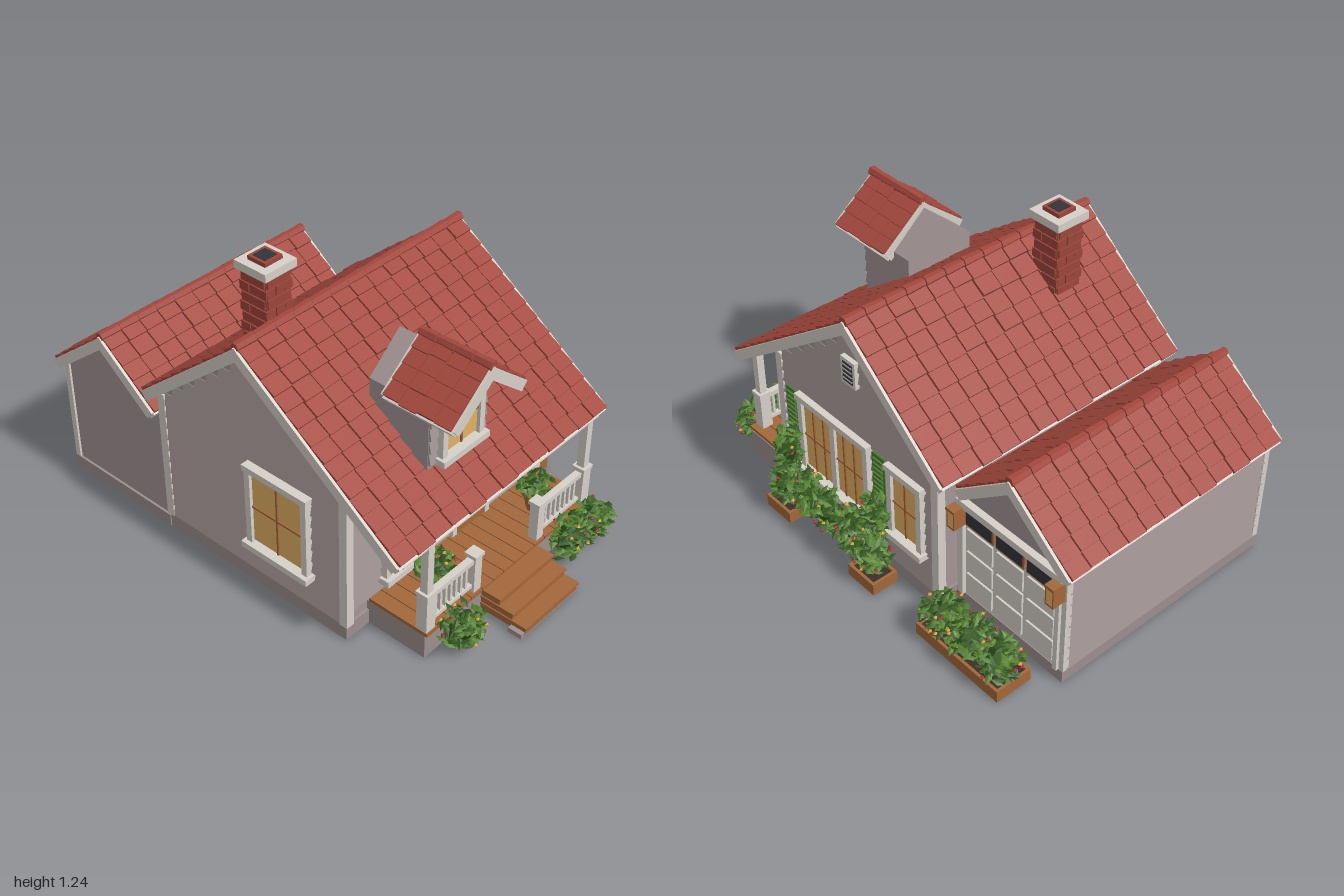
import * as THREE from 'three';
import { mergeGeometries } from 'three/addons/utils/BufferGeometryUtils.js';

const C = { wall: 0xa39595, base: 0x9c8e8e, trim: 0xd6d0c8, tile: 0xa3483d, under: 0x5c2822, wood: 0xa3673a, glass: 0xe2b064,
  dark: 0x33333b, shutter: 0x4f7d34, brick: 0x9c453a, soil: 0x3a2f28, leaf: 0x55802f, leafDark: 0x35591f, red: 0xb0304a, yellow: 0xe0a83c };
const mats = {};
const mat = (c) => (mats[c] ??= new THREE.MeshStandardMaterial({ color: C[c], flatShading: true }));
let seed = 7;
const rnd = () => ((seed = (seed * 16807) % 2147483647) / 2147483647);

function group(parent, name, x = 0, y = 0, z = 0, ry = 0) {
  const g = new THREE.Group();
  g.name = name; g.position.set(x, y, z); g.rotation.y = ry;
  parent.add(g);
  return g;
}
// box geometry from its limits
const bg = (x0, x1, y0, y1, z0, z1) =>
  new THREE.BoxGeometry(x1 - x0, y1 - y0, z1 - z0).translate((x0 + x1) / 2, (y0 + y1) / 2, (z0 + z1) / 2);
function add(parent, name, color, ...geos) {
  const m = new THREE.Mesh(geos.length > 1 ? mergeGeometries(geos) : geos[0], mat(color));
  m.name = name;
  parent.add(m);
  return m;
}
// solid with a [z, y] outline, running along x
function prism(pts, x0, x1) {
  const s = new THREE.Shape(pts.map(([z, y]) => new THREE.Vector2(-z, y)));
  return new THREE.ExtrudeGeometry(s, { depth: x1 - x0, bevelEnabled: false }).rotateY(Math.PI / 2).translate(x0, 0, 0);
}
// overlapping boards facing local +z; range(y) gives their ends
function siding(parent, name, x, z, ry, y0, y1, range) {
  const h = 0.053, geos = [];
  for (let y = y0; y < y1 - 0.01; y += h) {
    const t = Math.min(y + h, y1), [a, b] = range(t);
    if (b - a > 0.03) geos.push(new THREE.BoxGeometry(b - a, t - y, 0.01).rotateX(-0.2).translate((a + b) / 2, (y + t) / 2, 0));
  }
  add(group(parent, name, x, 0, z, ry), name + 'Boards', 'wall', ...geos);
}
// tiled slope from ridge to eave, with rake and eave boards
function slope(parent, name, x0, x1, zr, yr, ze, ye, rows, cols) {
  const L = Math.hypot(ze - zr, ye - yr), f = Math.sign(ze - zr), w = (x1 - x0) / cols, l = L / rows, hw = (x1 - x0) / 2;
  const g = group(parent, name, (x0 + x1) / 2, yr, zr, f > 0 ? 0 : Math.PI);
  const s = group(g, name + 'Pitch');
  s.rotation.x = Math.atan2(yr - ye, Math.abs(ze - zr));
  add(s, 'roofDeck', 'under', bg(-hw, hw, -0.03, -0.012, 0, L));
  const tiles = [];
  for (let r = 0; r < rows; r++) for (let c = 0; c < cols; c++)
    tiles.push(new THREE.BoxGeometry(w * 0.94, 0.012, l * 1.05).rotateX(-0.12)
      .translate(-hw + (c + 0.5) * w, -0.005 + (rnd() - 0.5) * 0.004, (r + 0.5) * l + (rnd() - 0.5) * 0.008));
  add(s, 'roofTiles', 'tile', ...tiles);
  const rake = (x) => bg(x - 0.009, x + 0.009, -0.048, -0.006, 0, L);
  add(s, 'roofTrim', 'trim', rake(-hw), rake(hw), bg(-hw, hw, -0.045, -0.012, L - 0.012, L + 0.008));
}
function ridge(parent, x0, x1, y, z, n) {
  const w = (x1 - x0) / n, geos = [];
  for (let i = 0; i < n; i++)
    geos.push(new THREE.CylinderGeometry(0.018, 0.021, w * 0.97, 6).rotateZ(Math.PI / 2).translate(x0 + (i + 0.5) * w, y, z));
  add(parent, 'ridgeTiles', 'tile', ...geos);
}
// framed window facing local +z, centred on its origin
function windowUnit(parent, name, x, y, z, ry, w, h, cols, rows, post = false) {
  const g = group(parent, name, x, y, z, ry), a = w / 2, b = h / 2, t = 0.026, iw = w - 2 * t, ih = h - 2 * t;
  add(g, 'windowGlass', 'glass', bg(-a + t, a - t, -b + t, b - t, -0.01, 0.008));
  const frame = [bg(-a, -a + t, -b, b, -0.01, 0.022), bg(a - t, a, -b, b, -0.01, 0.022),
    bg(-a - 0.006, a + 0.006, b - t, b, -0.01, 0.028), bg(-a - 0.012, a + 0.012, -b - 0.008, -b + t * 0.7, -0.01, 0.04)];
  if (post) frame.push(bg(-0.014, 0.014, -b, b, -0.01, 0.02));
  add(g, 'windowFrame', 'trim', ...frame);
  const bars = [];
  for (let i = 1; i < cols; i++) bars.push(bg(-iw / 2 + i * iw / cols - 0.004, -iw / 2 + i * iw / cols + 0.004, -ih / 2, ih / 2, 0, 0.014));
  for (let i = 1; i < rows; i++) bars.push(bg(-iw / 2, iw / 2, -ih / 2 + i * ih / rows - 0.004, -ih / 2 + i * ih / rows + 0.004, 0, 0.014));
  add(g, 'windowBars', 'wood', ...bars);
}
function lantern(parent, x, y, z, ry) {
  const g = group(parent, 'lantern', x, y, z, ry);
  add(g, 'lanternFrame', 'wood', bg(-0.022, 0.022, 0.035, 0.047, -0.005, 0.045), bg(-0.02, 0.02, -0.045, -0.036, 0, 0.042),
    bg(-0.02, -0.015, -0.04, 0.04, 0, 0.042), bg(0.015, 0.02, -0.04, 0.04, 0, 0.042), bg(-0.02, 0.02, -0.045, 0.045, -0.02, 0.006));
  add(g, 'lanternGlass', 'glass', bg(-0.015, 0.015, -0.036, 0.035, 0.006, 0.038));
}
// clump of leaves filling an ellipsoid, with a few blossoms
function bush(parent, name, x, y, z, rx, ry, rz, n, flowers = 6) {
  const g = group(parent, name, x, y, z), sets = [[], []];
  const place = (geo, k) => {
    const u = rnd() * 2 - 1, t = rnd() * Math.PI * 2, r = Math.sqrt(1 - u * u);
    return geo.translate(r * Math.cos(t) * rx * k, u * ry * k, r * Math.sin(t) * rz * k);
  };
  for (let i = 0; i < n; i++)
    sets[i % 2].push(place(new THREE.OctahedronGeometry(1).scale(0.013, 0.005, 0.027).rotateX(rnd() * 1.6 - 0.8).rotateY(rnd() * 6.3), 0.55 + 0.4 * rnd()));
  add(g, 'leaves', 'leaf', ...sets[0]);
  add(g, 'shadedLeaves', 'leafDark', ...sets[1], new THREE.OctahedronGeometry(1).scale(rx * 0.75, ry * 0.75, rz * 0.75));
  for (const c of ['red', 'yellow']) if (flowers)
    add(g, c + 'Blossoms', c, ...Array.from({ length: flowers }, () => place(new THREE.OctahedronGeometry(0.009), 0.95)));
}
function planter(parent, x0, x1, z0, z1) {
  const g = group(parent, 'planter'), t = 0.012;
  add(g, 'planterBox', 'wood', bg(x0, x1, 0, 0.052, z0, z0 + t), bg(x0, x1, 0, 0.052, z1 - t, z1), bg(x0, x0 + t, 0, 0.052, z0, z1),
    bg(x1 - t, x1, 0, 0.052, z0, z1), bg(x0, x1, 0, 0.01, z0, z1));
  add(g, 'soil', 'soil', bg(x0 + t, x1 - t, 0.01, 0.042, z0 + t, z1 - t));
}

export function createModel() {
  const root = new THREE.Group();
  root.name = 'cottage';
  const H = Math.PI / 2;

  // main house
  const house = group(root, 'house');
  add(house, 'foundation', 'base', bg(-0.62, 0.51, 0, 0.065, -0.4, 0.53));
  add(house, 'houseWalls', 'wall', prism([[0.52, 0.05], [0.52, 0.69], [0.06, 1.025], [-0.39, 0.65], [-0.39, 0.05]], -0.61, 0.5));
  const zMax = (y) => Math.min(0.51, 0.06 + (1.02 - y) / 0.73), zMin = (y) => Math.max(-0.38, 0.06 - (1.02 - y) / 0.83);
  siding(house, 'rightSiding', 0.503, 0, H, 0.065, 1.0, (y) => [-zMax(y), -zMin(y)]);
  siding(house, 'leftSiding', -0.613, 0, -H, 0.065, 1.0, (y) => [zMin(y), zMax(y)]);
  siding(house, 'frontSiding', 0, 0.523, 0, 0.12, 0.66, () => [-0.6, 0.49]);
  for (const x of [-0.605, 0.495]) for (const [z, t] of [[0.517, 0.67], [-0.387, 0.64]])
    add(house, 'cornerTrim', 'trim', bg(x - 0.018, x + 0.018, 0.06, t, z - 0.018, z + 0.018));
  slope(house, 'frontRoof', -0.65, 0.53, 0.06, 1.073, 0.795, 0.535, 13, 13);
  slope(house, 'backRoof', -0.65, 0.53, 0.06, 1.073, -0.455, 0.645, 9, 13);
  ridge(house, -0.655, 0.535, 1.068, 0.06, 13);

  // gable vent
  add(house, 'ventFrame', 'trim', bg(0.5, 0.525, 0.785, 0.9, 0.02, 0.1));
  add(house, 'ventOpening', 'dark', bg(0.51, 0.528, 0.8, 0.885, 0.033, 0.087));
  add(house, 'ventSlats', 'base', ...[0, 1, 2, 3].map((i) => bg(0.52, 0.532, 0.812 + i * 0.02, 0.817 + i * 0.02, 0.033, 0.087)));

  // windows and shutters
  windowUnit(house, 'livingRoomWindow', 0.51, 0.372, 0.18, H, 0.42, 0.37, 6, 2, true);
  windowUnit(house, 'sideWindow', 0.51, 0.385, -0.235, H, 0.19, 0.33, 2, 2);
  windowUnit(house, 'leftWindow', -0.625, 0.385, 0.215, -H, 0.3, 0.37, 2, 2);
  windowUnit(house, 'porchWindow', -0.33, 0.345, 0.535, 0, 0.21, 0.36, 2, 2);
  for (const z of [0.435, -0.085]) {
    const slats = [bg(0.5, 0.52, 0.25, 0.545, z - 0.035, z + 0.035)];
    for (let i = 0; i < 12; i++) slats.push(bg(0.515, 0.528, 0.262 + i * 0.023, 0.275 + i * 0.023, z - 0.026, z + 0.026));
    add(house, 'shutter', 'shutter', ...slats);
  }

  // front door
  const door = group(house, 'frontDoor', 0.06, 0.12, 0.53);
  add(door, 'doorTrim', 'trim', bg(-0.11, -0.085, 0, 0.4, -0.01, 0.018), bg(0.085, 0.11, 0, 0.4, -0.01, 0.018), bg(-0.11, 0.11, 0.385, 0.41, -0.01, 0.02));
  add(door, 'doorLeaf', 'wood', bg(-0.085, 0.085, 0, 0.385, -0.01, 0.015), bg(-0.004, 0.004, 0.2, 0.365, 0, 0.024), bg(-0.065, 0.065, 0.275, 0.283, 0, 0.024));
  add(door, 'doorGlass', 'glass', bg(-0.065, 0.065, 0.195, 0.365, 0, 0.02));
  add(door, 'doorPanels', 'brick', bg(-0.065, -0.008, 0.05, 0.14, 0, 0.022), bg(0.008, 0.065, 0.05, 0.14, 0, 0.022));
  add(door, 'doorKnob', 'dark', new THREE.SphereGeometry(0.009, 8, 6).translate(0.072, 0.18, 0.025));
  lantern(house, -0.16, 0.455, 0.54, 0);

  // porch
  const porch = group(root, 'porch');
  add(porch, 'porchBase', 'base', bg(-0.5, 0.5, 0, 0.105, 0.5, 0.79));
  add(porch, 'deckBoards', 'wood', ...Array.from({ length: 16 }, (_, i) => bg(-0.5 + i * 0.0625, -0.441 + i * 0.0625, 0.105, 0.12, 0.53, 0.8)));
  for (const x of [-0.475, 0.445]) add(porch, 'porchPost', 'trim', bg(x - 0.016, x + 0.016, 0.12, 0.53, 0.755, 0.787),
    bg(x - 0.024, x + 0.024, 0.12, 0.28, 0.747, 0.795), bg(x - 0.028, x + 0.028, 0.28, 0.295, 0.743, 0.799));
  for (const x of [-0.21, 0.165]) add(porch, 'stairPost', 'trim', bg(x - 0.02, x + 0.02, 0.12, 0.28, 0.751, 0.791), bg(x - 0.026, x + 0.026, 0.28, 0.295, 0.745, 0.797));
  for (const [a, b] of [[-0.455, -0.23], [0.185, 0.425]]) {
    const rail = [bg(a, b, 0.255, 0.275, 0.757, 0.785), bg(a, b, 0.14, 0.155, 0.76, 0.782)];
    for (let i = 1; i < 8; i++) rail.push(bg(a + (b - a) * i / 8 - 0.006, a + (b - a) * i / 8 + 0.006, 0.15, 0.26, 0.765, 0.777));
    add(porch, 'railing', 'trim', ...rail);
  }
  add(porch, 'porchBeam', 'trim', bg(-0.62, 0.5, 0.5, 0.53, 0.758, 0.785));
  for (let i = 0; i < 3; i++) add(porch, 'stairStep', 'wood', bg(-0.18, 0.135, 0.01, 0.1 - i * 0.032, 0.79, 0.872 + i * 0.06), bg(-0.185, 0.14, 0.1 - i * 0.032, 0.108 - i * 0.032, 0.79, 0.878 + i * 0.06));
  add(porch, 'stairFooting', 'base', bg(-0.2, 0.15, 0, 0.02, 0.93, 0.99));
  for (const x of [-0.3, 0.3]) {
    add(porch, 'flowerPot', 'wood', new THREE.CylinderGeometry(0.05, 0.036, 0.075, 10).translate(x, 0.158, 0.67));
    bush(porch, 'pottedPlant', x, 0.225, 0.67, 0.08, 0.05, 0.08, 70, 3);
  }

  // dormer, built with its ridge along local x and turned to the front
  const dormer = group(root, 'dormer', -0.17, 0, 0, -H);
  add(dormer, 'dormerWalls', 'wall', prism([[0.155, 0.66], [0.155, 0.92], [0, 1.055], [-0.155, 0.92], [-0.155, 0.66]], 0.37, 0.635));
  for (const s of [-1, 1]) slope(dormer, 'dormerRoof', 0.465, 0.765, 0, 1.083, s * 0.2, 0.922, 4, 4);
  ridge(dormer, 0.46, 0.775, 1.08, 0, 4);
  siding(root, 'dormerSiding', -0.17, 0.637, 0, 0.68, 0.93, () => [-0.153, 0.153]);
  windowUnit(root, 'dormerWindow', -0.17, 0.808, 0.645, 0, 0.225, 0.255, 2, 2);

  // chimney
  const chimney = group(root, 'chimney', -0.355, 0, -0.085);
  add(chimney, 'chimneyStack', 'brick', bg(-0.06, 0.06, 0.82, 1.19, -0.06, 0.06));
  const bricks = [];
  for (let r = 0; r < 8; r++) for (let s = 0; s < 4; s++) for (const k of r % 2 ? [-0.031, 0.031] : [-0.045, 0.005, 0.05])
    bricks.push(new THREE.BoxGeometry(r % 2 ? 0.056 : 0.04, 0.036, 0.01).translate(k * 0.9, 0.87 + r * 0.042, 0.061).rotateY(s * H));
  add(chimney, 'chimneyBricks', 'brick', ...bricks);
  add(chimney, 'chimneyCap', 'trim', bg(-0.077, 0.077, 1.187, 1.22, -0.077, 0.077));
  add(chimney, 'chimneyRim', 'brick', bg(-0.043, 0.043, 1.22, 1.236, -0.043, 0.043));
  add(chimney, 'flue', 'dark', bg(-0.03, 0.03, 1.22, 1.238, -0.03, 0.03));

  // garage
  const garage = group(root, 'garage');
  add(garage, 'garageFoundation', 'base', bg(-0.625, 0.42, 0, 0.055, -0.955, -0.39));
  add(garage, 'garageWalls', 'wall', prism([[-0.39, 0.04], [-0.39, 0.51], [-0.68, 0.735], [-0.945, 0.525], [-0.945, 0.04]], -0.615, 0.41));
  siding(garage, 'garageBackSiding', 0, -0.948, Math.PI, 0.055, 0.525, () => [-0.4, 0.605]);
  for (const x of [-0.61, 0.405]) add(garage, 'garageCorner', 'trim', bg(x - 0.014, x + 0.014, 0.055, 0.53, -0.957, -0.93));
  slope(garage, 'garageRoofBack', -0.645, 0.43, -0.68, 0.775, -0.985, 0.535, 6, 12);
  slope(garage, 'garageRoofFront', -0.645, 0.43, -0.68, 0.775, -0.405, 0.558, 5, 12);
  ridge(garage, -0.65, 0.435, 0.768, -0.68, 12);
  const gd = group(garage, 'garageDoor', 0.41, 0, -0.68, H);
  add(gd, 'garageDoorFrame', 'trim', bg(-0.265, -0.235, 0.055, 0.515, -0.01, 0.022), bg(0.235, 0.255, 0.055, 0.515, -0.01, 0.022), bg(-0.265, 0.265, 0.49, 0.52, -0.01, 0.028));
  const panels = [bg(-0.235, 0.235, 0.055, 0.49, -0.01, 0.006)];
  for (let i = 0; i < 3; i++) {
    const x = (i - 1) * 0.156;
    for (let r = 0; r < 3; r++) panels.push(bg(x - 0.067, x + 0.067, 0.075 + r * 0.11, 0.17 + r * 0.11, 0, 0.014));
    add(gd, 'doorPaneFrame', 'wood', bg(x - 0.073, x + 0.073, 0.407, 0.483, 0, 0.013));
    add(gd, 'doorPane', 'dark', bg(x - 0.065, x + 0.065, 0.416, 0.474, 0, 0.017));
  }
  add(gd, 'garageDoorPanels', 'trim', ...panels);
  for (const z of [-0.43, -0.93]) lantern(garage, 0.435, 0.45, z, H);

  // garden
  const garden = group(root, 'garden');
  planter(garden, 0.49, 0.65, -0.87, -0.435);
  planter(garden, 0.535, 0.65, 0.33, 0.48);
  planter(garden, 0.535, 0.65, -0.19, -0.04);
  for (const z of [-0.8, -0.655, -0.51]) bush(garden, 'planterBush', 0.575, 0.11, z, 0.095, 0.085, 0.095, 130);
  for (const z of [0.41, -0.115]) {
    bush(garden, 'planterShrub', 0.595, 0.14, z, 0.075, 0.1, 0.09, 130);
    bush(garden, 'climber', 0.57, 0.3, z, 0.055, 0.13, 0.06, 110, 3);
  }
  for (const z of [0.02, 0.15, 0.28]) bush(garden, 'windowBush', 0.585, 0.155, z, 0.07, 0.11, 0.085, 120);
  for (const [x, h] of [[-0.37, 0.1], [0.27, 0.1], [0.42, 0.09]]) bush(garden, 'frontBush', x, h, 0.855, 0.1, h, 0.08, 130);
  return root;
}
